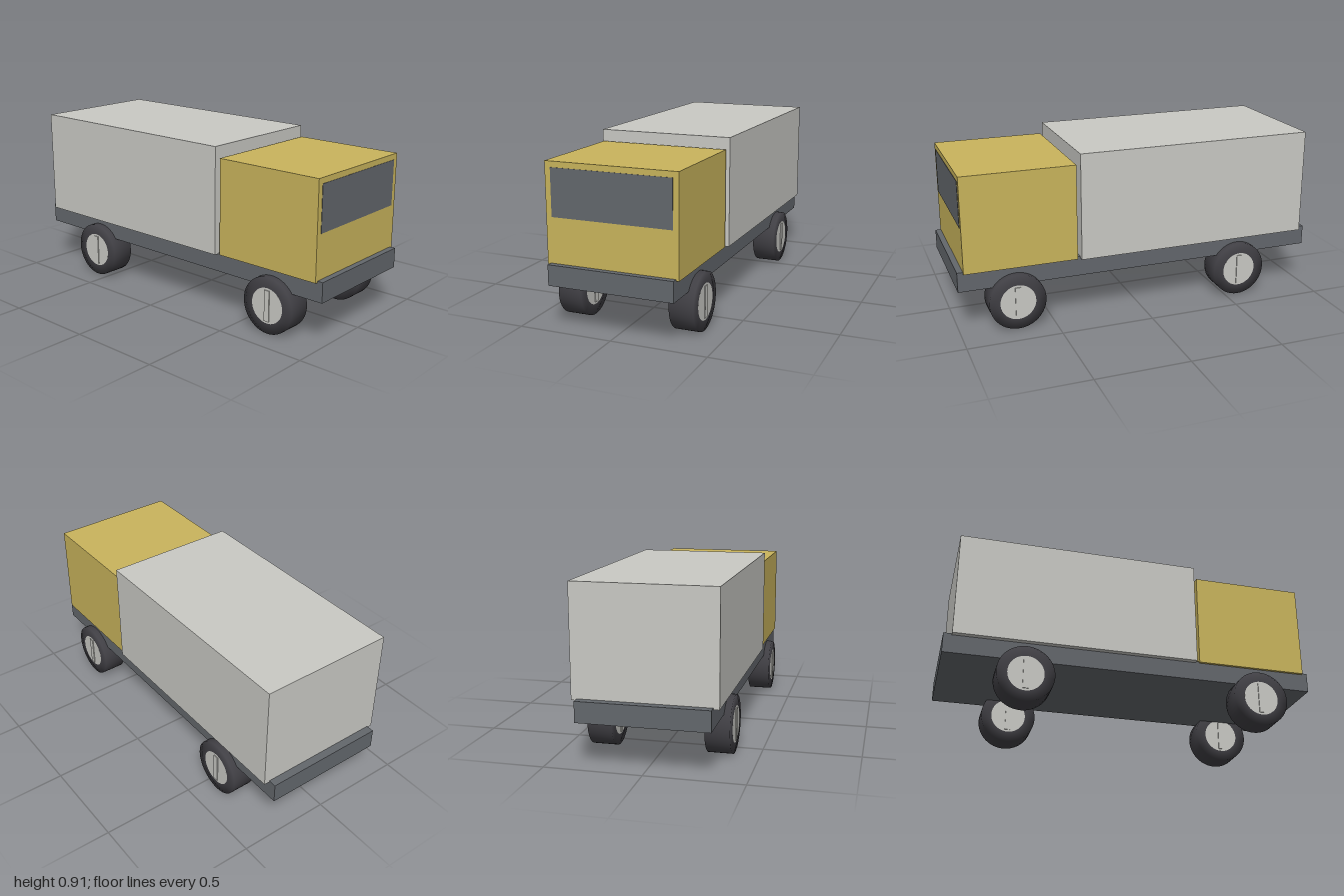
import * as THREE from 'three';

const paint = (name, color) => {
  const m = new THREE.MeshStandardMaterial({ color });
  m.name = name;
  return m;
};

export function createModel() {
  const truck = new THREE.Group();
  truck.name = 'boxTruck';
  const yellow = paint('cabYellow', 0xc9b45c);
  const pale = paint('paleGrey', 0xc9c9c4);
  const slate = paint('slateGrey', 0x63676c);
  const rubber = paint('tyreBlack', 0x403f44);

  // Box given by its lower and upper corners
  const box = (name, mat, [x0, y0, z0], [x1, y1, z1], parent = truck) => {
    const mesh = new THREE.Mesh(new THREE.BoxGeometry(x1 - x0, y1 - y0, z1 - z0), mat);
    mesh.position.set((x0 + x1) / 2, (y0 + y1) / 2, (z0 + z1) / 2);
    mesh.name = name;
    parent.add(mesh);
  };

  // Body
  box('chassis', slate, [-0.333, 0.236, -1], [0.333, 0.343, 1]);
  box('cab', yellow, [-0.348, 0.335, 0.365], [0.348, 0.85, 0.969]);
  box('cargoBox', pale, [-0.363, 0.335, -0.957], [0.363, 0.91, 0.347]);
  box('windscreen', slate, [-0.318, 0.576, 0.966], [0.318, 0.82, 0.971]);

  // Wheels: smooth tyre, hub disc and a raised bar across it
  const tyreProfile = [[0.094, -0.067], [0.151, -0.064], [0.151, 0.064], [0.094, 0.067]]
    .map(([r, h]) => new THREE.Vector2(r, h));
  const tyreGeo = new THREE.LatheGeometry(tyreProfile, 48).rotateZ(Math.PI / 2);
  const hubGeo = new THREE.CylinderGeometry(0.095, 0.095, 0.134, 48).rotateZ(Math.PI / 2);

  for (const [end, z] of [['front', 0.698], ['rear', -0.576]]) {
    for (const [side, s] of [['Left', 1], ['Right', -1]]) {
      const wheel = new THREE.Group();
      wheel.name = `${end}${side}Wheel`;
      const tyre = new THREE.Mesh(tyreGeo, rubber);
      tyre.name = 'tyre';
      const hub = new THREE.Mesh(hubGeo, pale);
      hub.name = 'hub';
      wheel.add(tyre, hub);
      box('hubBar', pale, [-0.072, -0.083, -0.015], [0.072, 0.083, 0.015], wheel);
      wheel.position.set(s * 0.304, 0.151, z);
      truck.add(wheel);
    }
  }
  return truck;
}
